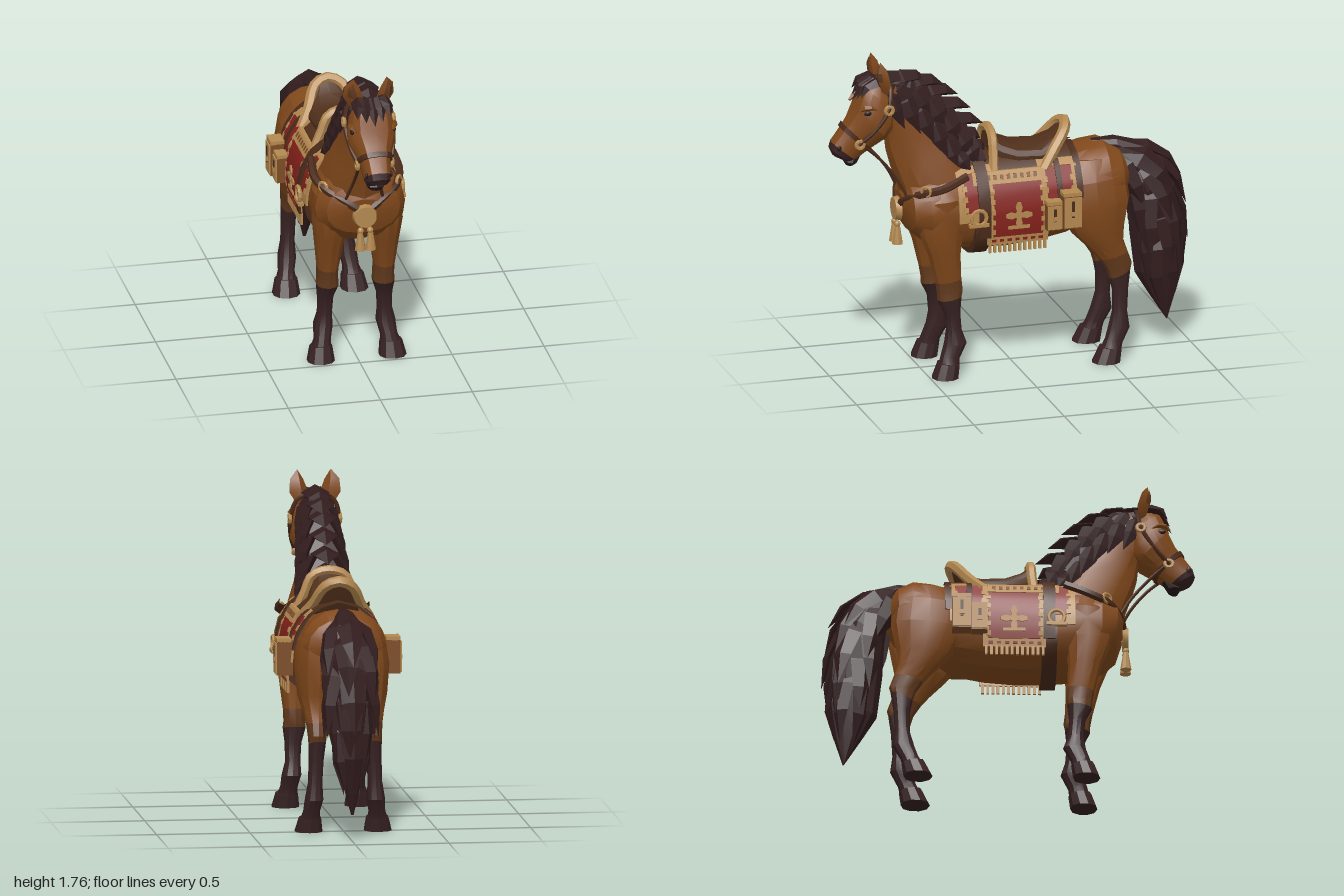
import * as THREE from 'three';
import { toCreasedNormals } from 'three/addons/utils/BufferGeometryUtils.js';

const V = (x, y, z) => new THREE.Vector3(x, y, z);
const mat = (name, color) => { const m = new THREE.MeshStandardMaterial({ color }); m.name = name; return m; };

// closed skin over rings of points, capped at both ends and turned outward
function skin(rings) {
  const n = rings[0].length, tri = [];
  for (let i = 0; i + 1 < rings.length; i++) for (let j = 0; j < n; j++) {
    const k = (j + 1) % n, [a, b] = [rings[i], rings[i + 1]];
    tri.push(a[j], b[j], b[k], a[j], b[k], a[k]);
  }
  const mid = r => r.reduce((s, p) => s.add(p), V(0, 0, 0)).divideScalar(n);
  const first = rings[0], last = rings[rings.length - 1], c0 = mid(first), c1 = mid(last);
  for (let j = 0; j < n; j++) {
    const k = (j + 1) % n;
    tri.push(c0, first[j], first[k], c1, last[k], last[j]);
  }
  let vol = 0;
  for (let i = 0; i < tri.length; i += 3) vol += tri[i].clone().sub(c0).dot(tri[i + 1].clone().sub(c0).cross(tri[i + 2].clone().sub(c0)));
  if (vol < 0) for (let i = 0; i < tri.length; i += 3) [tri[i + 1], tri[i + 2]] = [tri[i + 2], tri[i + 1]];
  return new THREE.BufferGeometry().setFromPoints(tri);
}

// section: [front/bottom z, y, back/top z, y, half width, centre x]
function loft(sections, { n = 14, p = 0.85, egg = 0 } = {}) {
  return skin(sections.map(([za, ya, zb, yb, w, x = 0]) => Array.from({ length: n }, (_, j) => {
    const t = (j / n) * Math.PI * 2, c = Math.cos(t), s = Math.sin(t);
    return V(x + Math.sign(s) * Math.abs(s) ** p * w * (1 + egg * c), (ya + yb) / 2 + c * (ya - yb) / 2, (za + zb) / 2 + c * (za - zb) / 2);
  })));
}

// pointed lock of hair, diamond in section, along a bent path
function tuft(p0, p1, p2, w, th, out) {
  const curve = new THREE.QuadraticBezierCurve3(p0, p1, p2);
  return skin([0.5, 1, 0.75, 0.02].map((r, i) => {
    const c = curve.getPoint(i / 3), t = curve.getTangent(i / 3);
    const side = t.clone().cross(out).normalize(), up = side.clone().cross(t).normalize();
    return [[1, 0], [0, 1], [-1, 0], [0, -1]].map(([a, b]) => c.clone().addScaledVector(side, a * w * r).addScaledVector(up, b * th * r));
  }));
}

const tube = (pts, r, sides = 6) => new THREE.TubeGeometry(new THREE.CatmullRomCurve3(pts.map(q => V(...q))), 16, r, sides);
const box = (w, h, d, x, y, z) => new THREE.BoxGeometry(w, h, d).translate(x, y, z);

// outline of the flank, used to drape cloth and leather
const flank = [[1.2, 0], [1.178, 0.09], [1.12, 0.162], [1.03, 0.215], [0.93, 0.238], [0.84, 0.241], [0.72, 0.228]];
function sideX(y) {
  for (let i = 1; i < flank.length; i++) {
    const [y0, x0] = flank[i - 1], [y1, x1] = flank[i];
    if (y >= y1) return x0 + (x1 - x0) * Math.max(0, (y0 - y) / (y0 - y1));
  }
  return 0.228;
}
function panel(z0, z1, y0, y1, lift, th = 0.012) {
  const g = new THREE.BoxGeometry(th, y1 - y0, z1 - z0, 1, 8, 1).translate(lift, (y0 + y1) / 2, (z0 + z1) / 2);
  const p = g.attributes.position;
  for (let i = 0; i < p.count; i++) p.setX(i, p.getX(i) + sideX(p.getY(i)));
  return g;
}

export function createModel() {
  const model = new THREE.Group();
  model.name = 'saddledHorse';
  const coat = mat('chestnut coat', 0x80481b), shade = mat('dark chestnut', 0x61391c), hair = mat('dark hair', 0x331d1e),
    sock = mat('dark leg', 0x372122), hoof = mat('hoof black', 0x271819), leather = mat('saddle leather', 0x4f2f1a),
    strap = mat('strap leather', 0x4a2a19), tan = mat('tan trim', 0xb48950), red = mat('red cloth', 0x84211b), bag = mat('bag leather', 0x7c4c25);

  function add(name, geo, material, mirrored = false, crease = 0.45) {
    const g = geo.index ? geo.toNonIndexed() : geo;
    const put = (q, label) => {
      const m = new THREE.Mesh(toCreasedNormals(q, crease), material);
      m.name = label;
      model.add(m);
    };
    put(g, name);
    if (!mirrored) return;
    const src = g.attributes.position, pts = [];
    for (let i = 0; i < src.count; i += 3) for (const k of [i, i + 2, i + 1]) pts.push(V(-src.getX(k), src.getY(k), src.getZ(k)));
    put(new THREE.BufferGeometry().setFromPoints(pts), name + 'Right');
  }
  const pair = (name, geo, material, crease) => add(name, geo, material, true, crease);

  // trunk, neck and head
  add('trunk', loft([[0.61, 0.88, 0.62, 1.0, 0.11], [0.58, 0.79, 0.585, 1.08, 0.2], [0.5, 0.72, 0.5, 1.13, 0.245],
    [0.38, 0.68, 0.36, 1.16, 0.245], [0.22, 0.66, 0.22, 1.17, 0.232], [0.05, 0.655, 0.05, 1.15, 0.224], [-0.12, 0.67, -0.12, 1.14, 0.226],
    [-0.28, 0.7, -0.28, 1.15, 0.224], [-0.4, 0.76, -0.4, 1.18, 0.232], [-0.5, 0.8, -0.5, 1.19, 0.23], [-0.58, 0.85, -0.58, 1.15, 0.2],
    [-0.63, 0.92, -0.64, 1.08, 0.11]], { n: 16, egg: 0.05 }), coat);
  add('neck', loft([[0.6, 0.92, 0.12, 1.05, 0.2], [0.63, 1.05, 0.18, 1.14, 0.185], [0.665, 1.15, 0.27, 1.27, 0.14],
    [0.69, 1.24, 0.4, 1.42, 0.115], [0.7, 1.33, 0.52, 1.56, 0.098], [0.74, 1.42, 0.64, 1.64, 0.09]]), coat);
  const muzzle = [0.99, 1.31, 0.865, 1.207, 0.072];
  add('head', loft([[0.77, 1.65, 0.66, 1.59, 0.06], [0.82, 1.61, 0.64, 1.48, 0.11], [0.845, 1.56, 0.66, 1.37, 0.128],
    [0.865, 1.5, 0.7, 1.32, 0.13], [0.9, 1.43, 0.76, 1.28, 0.1], [0.945, 1.37, 0.81, 1.245, 0.08], muzzle], { p: 0.65 }), coat);
  add('muzzle', loft([muzzle, [1.0, 1.275, 0.89, 1.2, 0.064], [0.985, 1.24, 0.9, 1.2, 0.045]], { p: 0.65 }), sock);
  add('chin', loft([[0.9, 1.25, 0.82, 1.24, 0.045], [0.925, 1.2, 0.85, 1.19, 0.05], [0.91, 1.175, 0.87, 1.175, 0.03]], { n: 8 }), hoof);
  pair('nostril', new THREE.SphereGeometry(0.016, 8, 6).scale(0.5, 1, 0.8).translate(0.066, 1.29, 0.965), hoof);
  pair('eye', new THREE.SphereGeometry(0.022, 8, 6).scale(0.45, 0.6, 1).translate(0.114, 1.487, 0.82), hoof);
  pair('brow', tuft(V(0.1, 1.5, 0.86), V(0.13, 1.54, 0.83), V(0.12, 1.5, 0.76), 0.016, 0.014, V(1, 0, 0)), coat);
  pair('ear', tuft(V(0.07, 1.58, 0.715), V(0.105, 1.69, 0.725), V(0.09, 1.757, 0.745), 0.055, 0.035, V(0.45, 0, 1)), coat);
  pair('innerEar', tuft(V(0.084, 1.63, 0.744), V(0.114, 1.69, 0.752), V(0.094, 1.735, 0.754), 0.026, 0.014, V(0.45, 0, 1)), shade);

  // legs: coat, a darker band at the joint, dark below, hoof at the foot
  const forearm = [0.46, 0.52, 0.316, 0.54, 0.059, 0.153], knee = [0.448, 0.42, 0.315, 0.44, 0.062, 0.152];
  const gaskin = [-0.45, 0.56, -0.605, 0.6, 0.06, 0.144], hock = [-0.505, 0.45, -0.622, 0.5, 0.046, 0.15];
  const legs = {
    front: [[[0.48, 1.1, 0.34, 1.1, 0.05, 0.12], [0.55, 0.98, 0.28, 1.0, 0.095, 0.148], [0.555, 0.82, 0.3, 0.82, 0.101, 0.145],
      [0.5, 0.68, 0.32, 0.68, 0.08, 0.15], forearm],
    [forearm, [0.45, 0.46, 0.308, 0.47, 0.058, 0.152], knee],
    [knee, [0.412, 0.35, 0.325, 0.35, 0.045, 0.16], [0.403, 0.25, 0.317, 0.25, 0.041, 0.163],
      [0.415, 0.18, 0.293, 0.18, 0.053, 0.17], [0.435, 0.12, 0.335, 0.1, 0.047, 0.18], [0.45, 0.07, 0.34, 0.06, 0.056, 0.188]],
    [[0.458, 0.085, 0.335, 0.07, 0.06, 0.19], [0.49, 0, 0.345, 0, 0.075, 0.195]]],
    hind: [[[-0.32, 1.12, -0.54, 1.13, 0.06, 0.11], [-0.22, 1.0, -0.6, 1.04, 0.1, 0.135], [-0.22, 0.86, -0.62, 0.9, 0.115, 0.14],
      [-0.3, 0.72, -0.59, 0.74, 0.1, 0.14], [-0.39, 0.63, -0.585, 0.66, 0.076, 0.142], gaskin],
    [gaskin, [-0.49, 0.5, -0.63, 0.53, 0.05, 0.148], hock],
    [hock, [-0.52, 0.38, -0.608, 0.4, 0.04, 0.155], [-0.52, 0.27, -0.6, 0.27, 0.039, 0.16], [-0.495, 0.18, -0.612, 0.18, 0.05, 0.165],
      [-0.475, 0.12, -0.57, 0.1, 0.045, 0.175], [-0.45, 0.07, -0.56, 0.06, 0.056, 0.18]],
    [[-0.442, 0.085, -0.565, 0.07, 0.06, 0.18], [-0.4, 0, -0.555, 0, 0.075, 0.185]]],
  };
  for (const [end, [upper, band, lower, foot]] of Object.entries(legs)) {
    pair(end + 'UpperLeg', loft(upper, { n: 12 }), coat);
    pair(end + 'JointBand', loft(band, { n: 12 }), shade);
    pair(end + 'LowerLeg', loft(lower, { n: 12 }), sock);
    pair(end + 'Hoof', loft(foot, { n: 10 }), sock);
  }

  // mane: solid core, crest locks and two rows of side locks
  add('maneCore', loft([[0.72, 1.6, 0.7, 1.655, 0.055], [0.6, 1.52, 0.56, 1.635, 0.08], [0.52, 1.4, 0.45, 1.56, 0.095],
    [0.44, 1.28, 0.36, 1.44, 0.115], [0.36, 1.18, 0.27, 1.29, 0.13], [0.22, 1.14, 0.2, 1.18, 0.07]], { n: 10 }), hair, false, 0.1);
  const crest = new THREE.CatmullRomCurve3([[1.625, 0.71], [1.615, 0.58], [1.545, 0.47], [1.43, 0.37], [1.3, 0.28], [1.2, 0.23]].map(([y, z]) => V(0, y, z)));
  for (let i = 0; i < 8; i++) {
    const c = crest.getPoint(i / 7), s = 0.55 + 0.45 * i / 7, q = (x, y, z) => c.clone().add(V(x * s, y, z));
    const reach = i > 5 ? 0.6 : 1;
    add('maneCrestLock', tuft(q(0, -0.02, 0.06), q(0, 0.055, -0.05), q(0, -0.02, -0.165 * reach), 0.08, 0.045, V(0, 1, -0.8)), hair, false, 0.1);
    pair('maneUpperLock', tuft(q(0.03, 0, 0.04), q(0.13, -0.02, 0), q(0.14, -0.18 * reach, -0.08 * reach), 0.075, 0.035, V(1, 0.3, 0)), hair, 0.1);
    if (i > 0) pair('maneLowerLock', tuft(q(0.07, -0.03, 0.07), q(0.15, -0.07, 0.07), q(0.175, -0.24 * reach, 0), 0.06, 0.032, V(1, 0.2, 0)), hair, 0.1);
  }
  for (let i = -2; i <= 2; i++) add('forelock', tuft(V(i * 0.025, 1.625, 0.69), V(i * 0.04, 1.67, 0.82),
    V(i * 0.045, 1.53 + 0.02 * Math.abs(i), 0.875 - 0.012 * Math.abs(i)), 0.042, 0.025, V(i * 0.2, 0.5, 1)), hair, false, 0.1);

  // tail: core with layered locks
  add('tailCore', loft([[-0.45, 1.14, -0.45, 1.19, 0.03], [-0.58, 1.09, -0.58, 1.195, 0.06], [-0.63, 1.0, -0.74, 1.15, 0.1],
    [-0.65, 0.85, -0.87, 0.98, 0.12], [-0.66, 0.66, -0.95, 0.75, 0.1], [-0.69, 0.42, -0.96, 0.5, 0.075],
    [-0.77, 0.29, -0.92, 0.3, 0.045], [-0.86, 0.15, -0.87, 0.14, 0.008]], { n: 10 }), hair, false, 0.1);
  const dock = new THREE.CatmullRomCurve3([[1.15, -0.5], [1.08, -0.68], [0.9, -0.78], [0.65, -0.81], [0.4, -0.83], [0.16, -0.87]].map(([y, z]) => V(0, y, z)));
  for (let row = 0; row < 5; row++) for (let j = -2; j <= 2; j++) {
    const a = j * 1.05 + (row % 2) * 0.2, t = 0.05 + row * 0.12 + Math.abs(j) * 0.015;
    const r = V(Math.sin(a) * (row < 3 ? 0.14 : 0.1), Math.cos(a) * (row < 2 ? 0.06 : 0.01), -Math.cos(a) * 0.15);
    const at = (u, k) => dock.getPoint(u).addScaledVector(r, k);
    add('tailLock', tuft(at(t, 0.35), at(t + 0.16, 1.1), at(t + 0.37, [1.08, 1.1, 1.12, 0.85, 0.45][row]), 0.07, 0.035, r), hair, false, 0.1);
  }

  // draped saddle cloth with trim, emblem and fringe
  pair('pad', panel(-0.32, 0.32, 0.98, 1.2, 0.004), leather);
  const cloths = [['frontCloth', 0.14, 0.355, 0.87, 1.15, 0.016, 0.036], ['rearCloth', -0.31, -0.1, 0.88, 1.15, 0.012, 0.03], ['mainCloth', -0.135, 0.2, 0.735, 1.12, 0.018, 0.03]];
  for (const [name, z0, z1, y0, y1, lift, edge] of cloths) {
    pair(name + 'Trim', panel(z0, z1, y0, y1, lift), tan);
    pair(name, panel(z0 + edge, z1 - edge, y0 + edge * 1.5, y1 - 0.03, lift + 0.005), red);
    for (const z of [z0 + edge, z1 - edge]) for (let y = y0 + 0.06; y < y1 - 0.08; y += 0.055)
      pair(name + 'Scallop', panel(z - 0.012, z + 0.012, y, y + 0.026, lift + 0.008), tan);
  }
  for (let i = 0; i < 7; i++) pair('hemPatch', panel(-0.105 + i * 0.043, -0.082 + i * 0.043, 0.75, 0.764, 0.022), red);
  pair('clothTopTrim', panel(-0.11, 0.27, 1.065, 1.125, 0.03), tan);
  for (let i = 0; i < 9; i++) pair('topTrimStud', panel(-0.085 + i * 0.037, -0.067 + i * 0.037, 1.085, 1.108, 0.035, 0.008), bag);
  pair('rearEdge', panel(-0.335, -0.3, 0.95, 1.2, 0.014), strap);
  for (let i = 0; i < 12; i++) pair('fringe', box(0.014, 0.05, 0.015, 0.248, 0.715, 0.185 - i * 0.0275), tan);
  for (let i = 0; i < 4; i++) {
    const petal = new THREE.CylinderGeometry(0.022, 0.022, 0.009, 6).rotateZ(Math.PI / 2).scale(1, 1.55, 0.85);
    pair('emblemPetal', petal.translate(0, 0.042, 0).rotateX(i * Math.PI / 2).translate(0.271, 0.893, 0.03), tan);
  }
  pair('emblemCentre', new THREE.CylinderGeometry(0.022, 0.022, 0.01, 8).rotateZ(Math.PI / 2).translate(0.272, 0.893, 0.03), tan);
  pair('emblemBase', box(0.009, 0.018, 0.12, 0.27, 0.828, 0.03), tan);

  // girth, stirrup strap and stirrup
  add('girth', loft([[0.26, 0.64, 0.26, 1.0, 0.245], [0.18, 0.638, 0.18, 1.0, 0.245]], { n: 20, p: 0.8 }), strap);
  pair('girthStrap', panel(0.185, 0.25, 0.78, 1.17, 0.034), strap);
  pair('stirrup', new THREE.TorusGeometry(0.042, 0.011, 6, 12).rotateY(Math.PI / 2).translate(0.28, 0.9, 0.255), tan);
  pair('stirrupTread', box(0.03, 0.018, 0.11, 0.278, 0.86, 0.255), tan);

  // saddle seat and rims
  add('saddleSeat', loft([[0.14, 1.11, 0.13, 1.31, 0.09], [0.08, 1.1, 0.07, 1.26, 0.115], [0, 1.09, -0.01, 1.225, 0.135],
    [-0.14, 1.09, -0.14, 1.215, 0.14], [-0.2, 1.1, -0.23, 1.25, 0.115], [-0.23, 1.15, -0.305, 1.32, 0.065]], { p: 0.75 }), leather);
  const arch = half => [...half.map(([x, y, z]) => [-x, y, z]), ...half.slice(0, -1).reverse()];
  add('pommelRim', tube(arch([[0.17, 1.1, 0.14], [0.13, 1.19, 0.13], [0.09, 1.28, 0.125], [0, 1.31, 0.12]]), 0.026), tan, false, 0.6);
  add('cantleRim', tube(arch([[0.18, 1.1, -0.13], [0.125, 1.18, -0.2], [0.072, 1.28, -0.278], [0, 1.31, -0.3]]), 0.03), tan, false, 0.6);

  // saddlebags
  for (const [z, d, y, h, w] of [[-0.25, 0.1, 0.9, 0.18, 0.085], [-0.155, 0.085, 0.875, 0.14, 0.07]]) {
    const x = 0.245 + w / 2;
    pair('bag', box(w, h, d, x, y, z), bag);
    pair('bagFace', box(0.009, h * 0.92, d * 0.94, x + w / 2 + 0.003, y, z), tan);
    pair('bagFlap', box(w * 0.9, 0.02, d, x + w * 0.06, y + h / 2 + 0.008, z), tan);
    pair('bagStrap', box(0.012, h * 0.5, 0.016, x + w / 2 + 0.006, y + h * 0.1, z), strap);
    pair('bagBuckle', box(0.014, 0.024, 0.028, x + w / 2 + 0.008, y - 0.005, z), tan);
  }
  pair('bagHanger', panel(-0.22, -0.19, 0.95, 1.15, 0.024), strap);

  // breast collar with medallion and tassels
  pair('breastStrap', tube([[0, 0.92, 0.622], [0.1, 0.985, 0.596], [0.185, 1.03, 0.535], [0.23, 1.065, 0.43], [0.22, 1.12, 0.3]], 0.023), strap, 0.8);
  pair('breastBuckle', new THREE.TorusGeometry(0.026, 0.009, 6, 10).rotateY(0.9).translate(0.205, 1.05, 0.525), tan);
  add('medallion', new THREE.CylinderGeometry(0.06, 0.067, 0.032, 14).rotateX(Math.PI / 2).translate(0, 0.905, 0.63), tan);
  pair('tasselKnot', new THREE.SphereGeometry(0.018, 8, 6).translate(0.026, 0.825, 0.632), tan);
  pair('tassel', new THREE.CylinderGeometry(0.014, 0.03, 0.1, 8).translate(0.028, 0.765, 0.632), tan);

  // bridle and reins
  add('noseband', loft([[0.928, 1.411, 0.776, 1.26, 0.099], [0.944, 1.388, 0.792, 1.246, 0.092]], { p: 0.65 }), strap);
  pair('cheekStrap', tube([[0.088, 1.31, 0.86], [0.118, 1.39, 0.78], [0.13, 1.5, 0.71], [0.1, 1.6, 0.69], [0.03, 1.64, 0.68]], 0.012), strap, 0.8);
  for (const [x, y, z] of [[0.134, 1.5, 0.708], [0.094, 1.31, 0.858]])
    pair('bridleRing', new THREE.TorusGeometry(0.021, 0.011, 6, 10).rotateY(Math.PI / 2).translate(x, y, z), tan);
  pair('rein', tube([[0.088, 1.31, 0.85], [0.07, 1.22, 0.75], [0.075, 1.11, 0.66], [0.1, 1.0, 0.6]], 0.009), strap, 0.8);
  return model;
}
